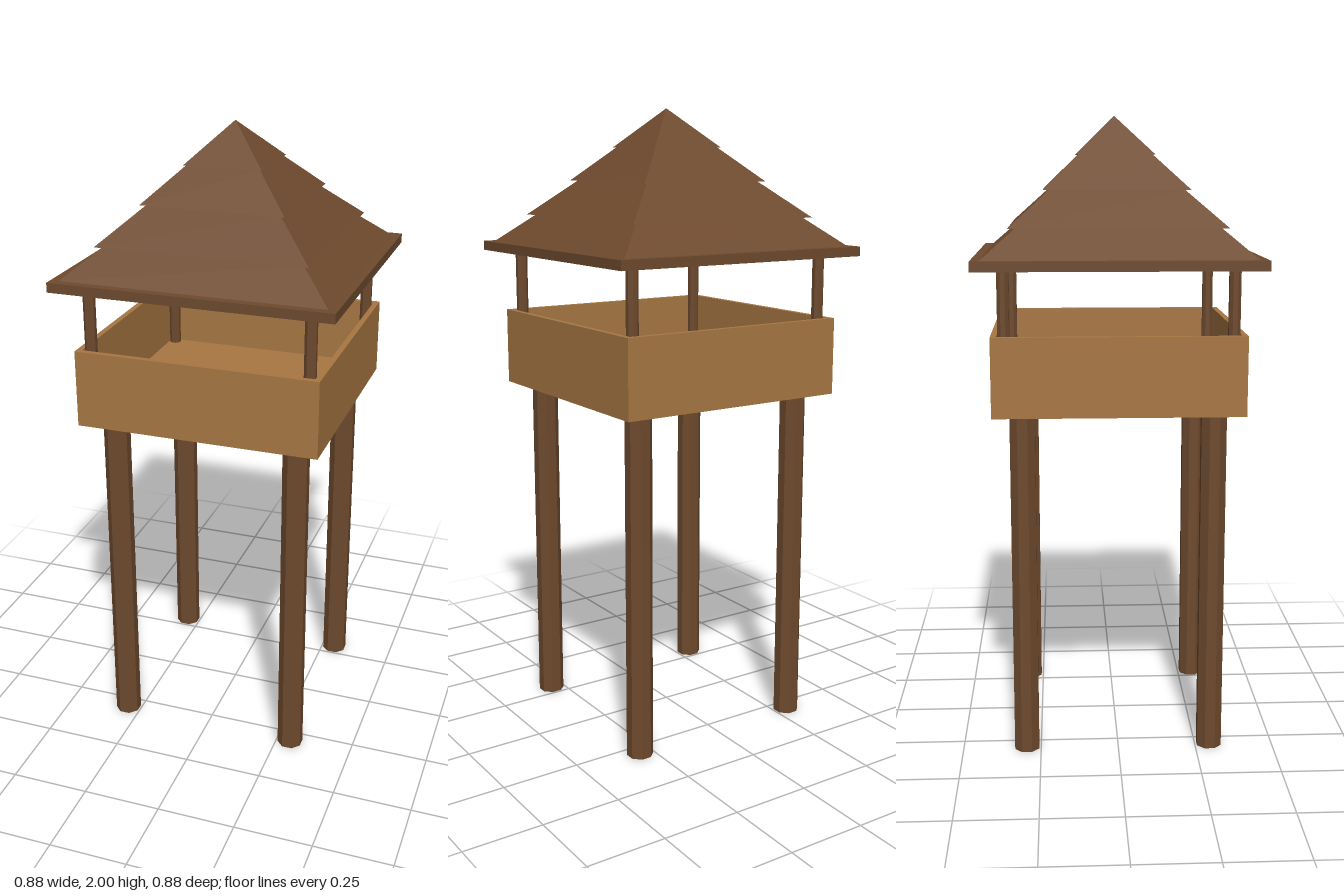
import * as THREE from 'three';

const roofWood = new THREE.MeshStandardMaterial({ color: 0x6e4a2e, flatShading: true });
roofWood.name = 'dark wood';
const plankWood = new THREE.MeshStandardMaterial({ color: 0xa87743, flatShading: true });
plankWood.name = 'light wood';

export function createModel() {
  const model = new THREE.Group();
  model.name = 'watchtower';

  const add = (name, geometry, material, x, y, z) => {
    const mesh = new THREE.Mesh(geometry, material);
    mesh.name = name;
    mesh.position.set(x, y, z);
    model.add(mesh);
    return mesh;
  };
  const box = (name, w, h, d, material, x, y, z) =>
    add(name, new THREE.BoxGeometry(w, h, d), material, x, y, z);

  // Round posts at the four corners: tall legs and slim roof supports
  const posts = (name, offset, radius, y0, y1) => {
    for (const sx of [-1, 1]) for (const sz of [-1, 1]) {
      const g = new THREE.CylinderGeometry(radius, radius, y1 - y0, 8);
      g.rotateY(Math.PI / 8);
      add(name, g, roofWood, sx * offset, (y0 + y1) / 2, sz * offset);
    }
  };
  posts('leg', 0.295, 0.042, 0, 1.11);
  posts('roofPost', 0.346, 0.019, 1.12, 1.56);

  // Lookout platform: floor with four thin parapet walls
  const half = 0.385, wall = 0.018, floorY = 1.105, floorTop = 1.135, rim = 1.35;
  box('floor', half * 2, floorTop - floorY, half * 2, plankWood, 0, (floorY + floorTop) / 2, 0);
  const wallH = rim - floorTop, wallY = (rim + floorTop) / 2;
  for (const s of [-1, 1]) {
    box('parapet', half * 2, wallH, wall, plankWood, 0, wallY, s * (half - wall / 2));
    box('parapet', wall, wallH, (half - wall) * 2, plankWood, s * (half - wall / 2), wallY, 0);
  }

  // Square eave board
  box('eave', 0.875, 0.03, 0.875, roofWood, 0, 1.562, 0);

  // Stacked pyramid tiers: bottom half-width, bottom y, top half-width, top y
  const tiers = [
    [0.41, 1.577, 0.308, 1.665],
    [0.33, 1.665, 0.207, 1.775],
    [0.225, 1.775, 0.115, 1.88],
    [0.123, 1.88, 0, 2],
  ];
  for (const [b, y0, t, y1] of tiers) {
    const g = new THREE.CylinderGeometry(t * Math.SQRT2, b * Math.SQRT2, y1 - y0, 4);
    g.rotateY(Math.PI / 4);
    add('roofTier', g, roofWood, 0, (y0 + y1) / 2, 0);
  }
  return model;
}
